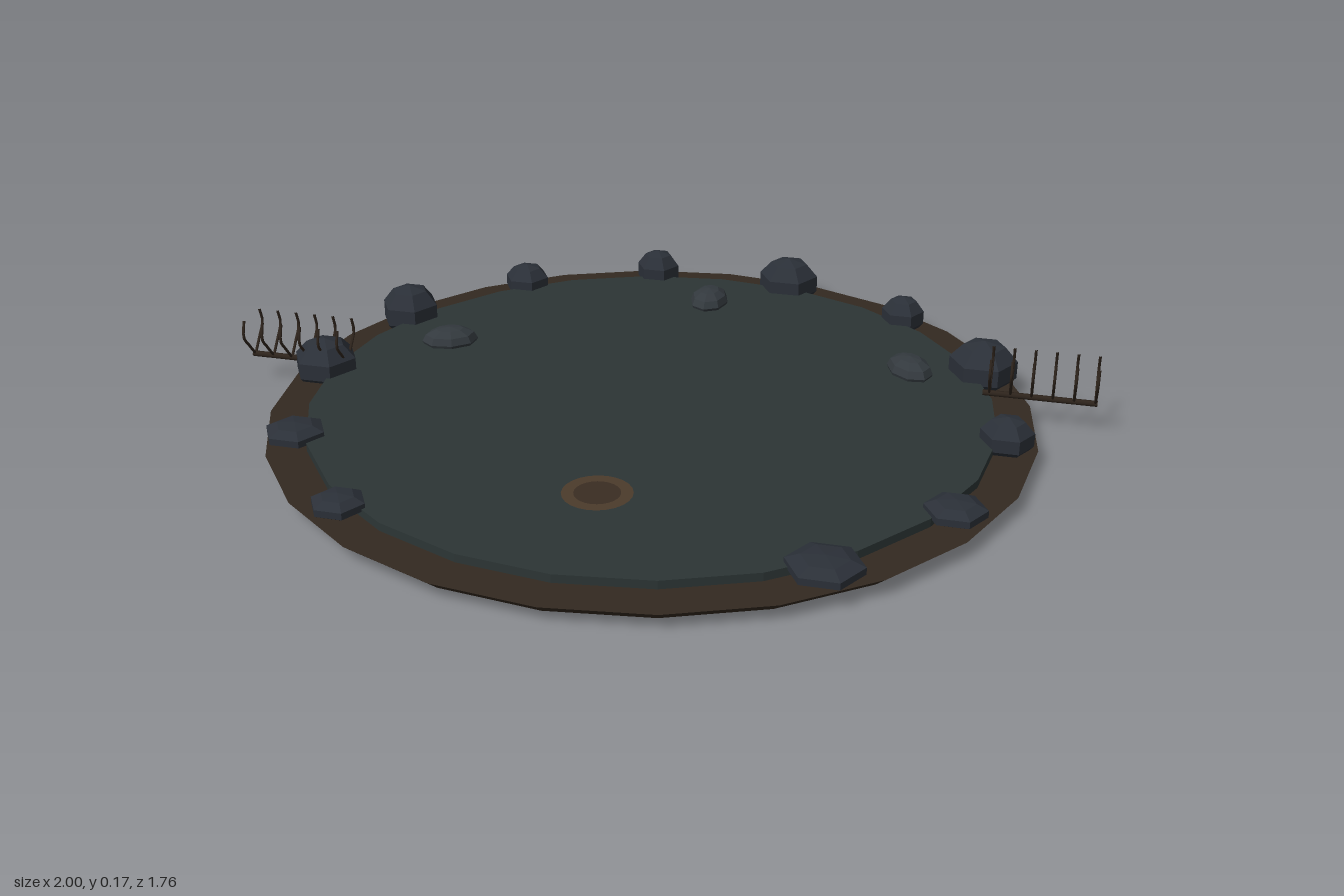
import * as THREE from 'three';

const material = (color, extra = {}) => new THREE.MeshStandardMaterial({ color, ...extra });

export function createModel() {
  const model = new THREE.Group();
  const earth = material(0x332920, { flatShading: true });
  const water = material(0x2c3535, { flatShading: true });
  const rock = material(0x2b3038, { flatShading: true });
  const pebble = material(0x33393e, { flatShading: true });
  const bone = material(0x2e241c);

  const add = (name, geometry, mat, x, y, z, parent = model) => {
    const mesh = new THREE.Mesh(geometry, mat);
    mesh.name = name;
    mesh.position.set(x, y, z);
    parent.add(mesh);
    return mesh;
  };

  // Pond bed flaring up to the bank, with the raised water slab on it
  add('bank', new THREE.CylinderGeometry(0.88, 0.85, 0.026, 24), earth, 0, 0.021, 0);
  add('water', new THREE.CylinderGeometry(0.79, 0.79, 0.022, 24), water, 0, 0.042, 0);

  // Bank rocks: step round the shore, width radius, top height, centre height
  const shore = 0.81;
  const rocks = [
    [0, 0.063, 0.11, 0.06], [1, 0.07, 0.08, 0.055], [2, 0.085, 0.08, 0.055],
    [5, 0.063, 0.08, 0.055], [6, 0.073, 0.08, 0.055], [7, 0.081, 0.126, 0.062],
    [8, 0.076, 0.135, 0.065], [9, 0.061, 0.108, 0.06], [10, 0.059, 0.12, 0.063],
    [11, 0.081, 0.13, 0.065], [12, 0.056, 0.115, 0.062], [13, 0.085, 0.135, 0.0675],
  ];
  const rockShape = new THREE.SphereGeometry(1, 6, 5);
  for (const [step, radius, top, y] of rocks) {
    const a = (step / 14) * Math.PI * 2;
    add('bankRock', rockShape, rock, Math.cos(a) * shore, y, Math.sin(a) * shore)
      .scale.set(radius, top - y, radius);
  }

  // Oval stones lying in the water: x, z, turn
  const stoneShape = new THREE.SphereGeometry(1, 8, 6);
  for (const [x, z, turn] of [[0, -0.62, 0], [0.56, -0.31, 0.65], [-0.57, -0.21, -1.15]]) {
    const stone = add('waterStone', stoneShape, pebble, x, 0.06, z);
    stone.scale.set(0.049, 0.034, 0.069);
    stone.rotation.y = turn;
  }

  // Flat round mark on the water
  const disc = add('markCentre', new THREE.CircleGeometry(0.052, 24), material(0x3a2d22), 0, 0.055, 0.46);
  const ring = add('markRing', new THREE.RingGeometry(0.05, 0.076, 24), material(0x4c3b2b), 0, 0.056, 0.46);
  disc.rotation.x = ring.rotation.x = -Math.PI / 2;

  // Rib cages: a spine with six pairs of curved ribs
  const ribShape = (side) => new THREE.TubeGeometry(new THREE.CatmullRomCurve3(
    [[0, 0], [0.028, 0.033], [0.051, 0.064], [0.041, 0.102]]
      .map(([z, y]) => new THREE.Vector3(0, y, z * side))), 8, 0.0035, 5);
  const ribs = [ribShape(1), ribShape(-1)];
  for (const [x, z] of [[0.87, -0.21], [-0.87, 0]]) {
    const cage = new THREE.Group();
    cage.name = 'ribCage';
    cage.position.set(x, 0.066, z);
    add('spine', new THREE.CylinderGeometry(0.007, 0.007, 0.26, 6), bone, 0, 0, 0, cage)
      .rotation.z = Math.PI / 2;
    for (let i = 0; i < 6; i++) {
      for (const rib of ribs) add('rib', rib, bone, (i - 2.5) * 0.048 + Math.sign(x) * 0.005, 0, 0, cage);
    }
    model.add(cage);
  }
  return model;
}
